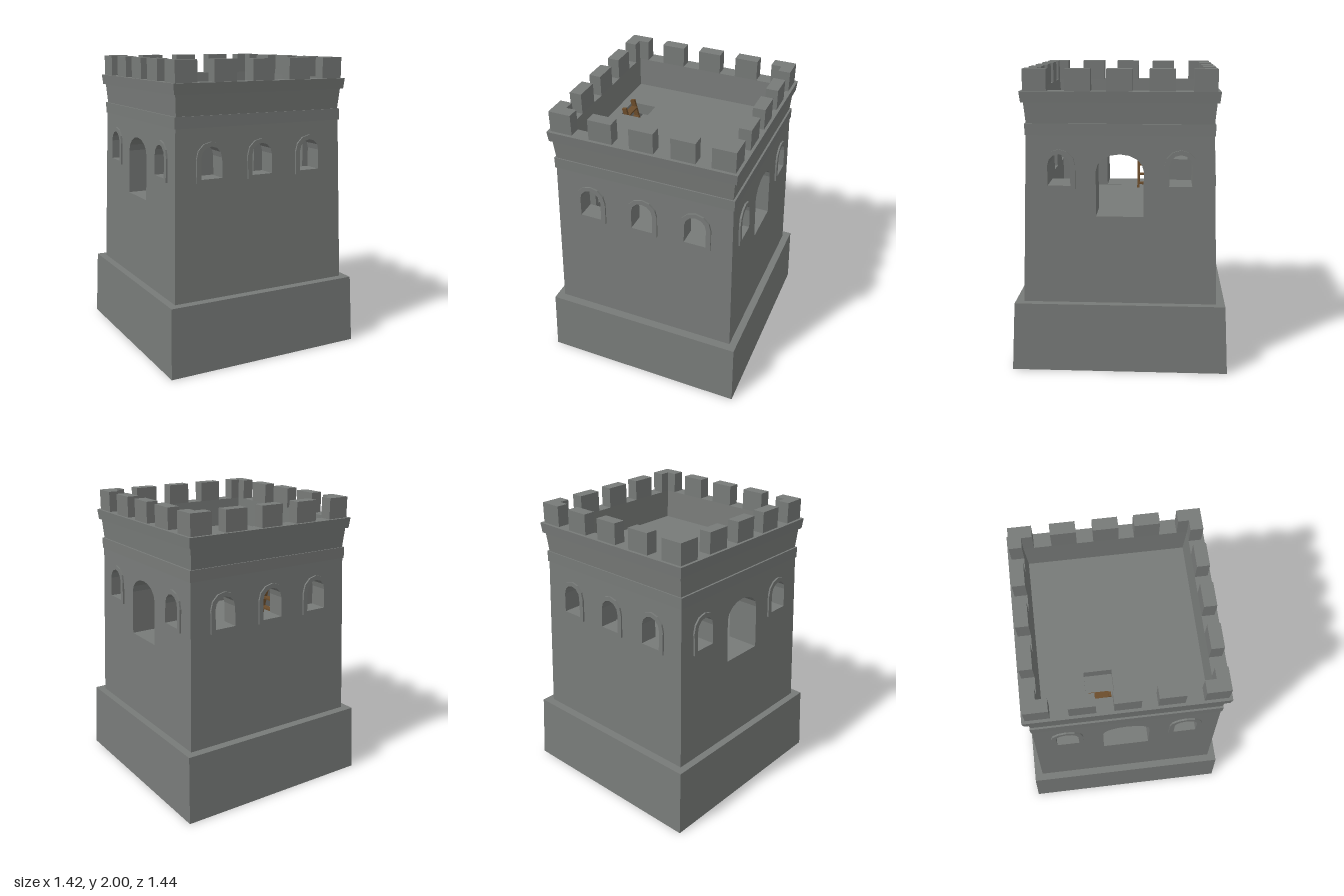
import * as THREE from 'three';

const stone = new THREE.MeshStandardMaterial({ color: 0x777a78 });
stone.name = 'grey stone';
const wood = new THREE.MeshStandardMaterial({ color: 0x6b4c2b });
wood.name = 'brown wood';

const ROOM_X = 0.465, ROOM_Z = 0.5, FLOOR = 1.05, ROOF = 1.66;
const WALL_BOTTOM = 0.465, WALL_TOP = 1.58;
// half sizes of the tapering wall at height y
const taper = (y, a, b) => a + (b - a) * (y - WALL_BOTTOM) / (WALL_TOP - WALL_BOTTOM);
const halfX = (y) => taper(y, 0.645, 0.612);
const halfZ = (y) => taper(y, 0.64, 0.604);

function add(parent, name, geometry, material = stone) {
  const mesh = new THREE.Mesh(geometry, material);
  mesh.name = name;
  parent.add(mesh);
  return mesh;
}

// sweeps a profile of [halfX, y, halfZ] around a rectangle
function squareLoft(profile) {
  const signs = [[1, 1], [1, -1], [-1, -1], [-1, 1]];
  const pos = [];
  const at = (p, s) => [p[0] * s[0], p[1], p[2] * s[1]];
  for (let i = 0; i < profile.length - 1; i++) {
    for (let k = 0; k < 4; k++) {
      const s = signs[k], t = signs[(k + 1) % 4];
      const a = at(profile[i], s), b = at(profile[i], t);
      const c = at(profile[i + 1], t), d = at(profile[i + 1], s);
      pos.push(...a, ...b, ...c, ...a, ...c, ...d);
    }
  }
  const g = new THREE.BufferGeometry();
  g.setAttribute('position', new THREE.Float32BufferAttribute(pos, 3));
  g.computeVertexNormals();
  return g;
}

// outline of an arched opening
function archPoints(cx, hw, y0, spring, top, n = 6) {
  const pts = [new THREE.Vector2(cx - hw, y0), new THREE.Vector2(cx + hw, y0)];
  for (let i = 0; i <= n; i++) {
    const a = Math.PI * i / n;
    pts.push(new THREE.Vector2(cx + hw * Math.cos(a), spring + (top - spring) * Math.sin(a)));
  }
  return pts;
}

// plate with holes; front and back depth follow rules, back corners may be mitred
function plate(points, holes, front, back, mitre = 0) {
  const shape = new THREE.Shape(points);
  holes.forEach((h) => shape.holes.push(new THREE.Path(h)));
  const g = new THREE.ExtrudeGeometry(shape, { depth: 1, bevelEnabled: false });
  const p = g.attributes.position;
  for (let i = 0; i < p.count; i++) {
    const isFront = p.getZ(i) > 0.5, y = p.getY(i);
    p.setZ(i, isFront ? front(y) : back(y));
    if (!isFront && mitre && Math.abs(p.getX(i)) > 0.58) p.setX(i, Math.sign(p.getX(i)) * mitre);
  }
  g.computeVertexNormals();
  return g;
}

const quad = (b, t, y0, y1) => [[-b, y0], [b, y0], [t, y1], [-t, y1]].map((q) => new THREE.Vector2(...q));
const windowHole = (cx) => archPoints(cx, 0.074, 1.255, 1.385, 1.46);
const doorHole = () => archPoints(0, 0.155, FLOOR + 0.002, 1.35, 1.46, 8);

// one wall with its openings and raised window frames, facing +z before turning
function wall(name, turn, windows, hasDoor, width, depth, inner, mitre) {
  const g = new THREE.Group();
  g.name = name;
  const holes = windows.map(windowHole);
  if (hasDoor) holes.push(doorHole());
  const outline = quad(width(WALL_BOTTOM), width(WALL_TOP), WALL_BOTTOM, WALL_TOP);
  add(g, 'wallFace', plate(outline, holes, depth, () => inner, mitre));
  for (const cx of windows) {
    const frame = archPoints(cx, 0.106, 1.23, 1.385, 1.49);
    add(g, 'windowFrame', plate(frame, [windowHole(cx)], (y) => depth(y) + 0.012, (y) => depth(y) - 0.02));
  }
  if (hasDoor) {
    // inner lining thickens the door walls
    add(g, 'wallLining', plate(quad(ROOM_Z, ROOM_Z, FLOOR, 1.475), holes, () => ROOM_X, () => 0.4));
  }
  g.rotation.y = turn;
  return g;
}

function box(parent, name, x0, x1, y0, y1, z0, z1, material = stone) {
  const m = add(parent, name, new THREE.BoxGeometry(x1 - x0, y1 - y0, z1 - z0), material);
  m.position.set((x0 + x1) / 2, (y0 + y1) / 2, (z0 + z1) / 2);
  return m;
}

function battlements() {
  const g = new THREE.Group();
  g.name = 'battlements';
  const y0 = 1.855, y1 = 2, out = 0.617, inn = 0.535, arm = 0.466;
  for (const c of [-0.267, 0.01, 0.284]) {
    box(g, 'frontMerlon', c - 0.08, c + 0.08, y0, y1, inn, out);
    box(g, 'backMerlon', c - 0.08, c + 0.08, y0, y1, -out, -inn);
  }
  for (const c of [-0.27, 0.002, 0.268]) {
    box(g, 'leftMerlon', inn, out, y0, y1, c - 0.082, c + 0.082);
    box(g, 'rightMerlon', -out, -inn, y0, y1, c - 0.082, c + 0.082);
  }
  // L-shaped corners
  const corner = [[arm, inn], [inn, inn], [inn, arm], [out, arm], [out, out], [arm, out]];
  const shape = new THREE.Shape(corner.map((q) => new THREE.Vector2(...q)));
  const geo = new THREE.ExtrudeGeometry(shape, { depth: y1 - y0, bevelEnabled: false });
  geo.rotateX(-Math.PI / 2);
  for (let k = 0; k < 4; k++) {
    const m = add(g, 'cornerMerlon', geo);
    m.position.y = y0;
    m.rotation.y = k * Math.PI / 2;
  }
  return g;
}

// leaning ladder with flat treads
function ladder() {
  const g = new THREE.Group();
  g.name = 'ladder';
  const bottom = new THREE.Vector2(-0.295, FLOOR), top = new THREE.Vector2(-0.455, 1.69);
  const d = top.clone().sub(bottom), mid = bottom.clone().add(top).multiplyScalar(0.5);
  for (const z of [-0.226, -0.09]) {
    const rail = add(g, 'ladderRail', new THREE.BoxGeometry(0.032, d.length(), 0.018), wood);
    rail.position.set(mid.x, mid.y, z);
    rail.rotation.z = Math.atan2(-d.x, d.y);
  }
  for (let y = 1.085; y < 1.66; y += 0.069) {
    const x = bottom.x + d.x * (y - bottom.y) / d.y;
    box(g, 'ladderTread', x - 0.022, x + 0.024, y - 0.006, y + 0.006, -0.22, -0.095, wood);
  }
  return g;
}

export function createModel() {
  const tower = new THREE.Group();
  tower.name = 'tower';

  add(tower, 'plinth', squareLoft([[0, 0, 0], [0.71, 0, 0.72], [0.695, 0.465, 0.697], [0.6, 0.465, 0.6]]));

  // four walls: windows front and back, a door between windows on the sides
  for (const [name, turn] of [['frontWall', 0], ['backWall', Math.PI]]) {
    tower.add(wall(name, turn, [-0.37, 0, 0.37], false, halfX, halfZ, ROOM_Z, ROOM_X));
  }
  for (const [name, turn] of [['leftWall', Math.PI / 2], ['rightWall', -Math.PI / 2]]) {
    tower.add(wall(name, turn, [-0.393, 0.393], true, halfZ, halfX, ROOM_X, ROOM_Z));
  }
  box(tower, 'roomFloor', -ROOM_X, ROOM_X, FLOOR - 0.03, FLOOR, -ROOM_Z, ROOM_Z);

  // string course, neck, cornice and inner parapet face
  add(tower, 'parapet', squareLoft([
    [0.59, 1.58, 0.585], [0.619, 1.58, 0.61], [0.619, 1.655, 0.61], [0.606, 1.655, 0.602],
    [0.615, 1.79, 0.615], [0.63, 1.79, 0.63], [0.636, 1.86, 0.638], [0.535, 1.86, 0.535],
    [0.53, ROOF, 0.522],
  ]));

  // roof deck with a hatch
  const hatch = [[-0.465, 0.06], [-0.285, 0.06], [-0.285, 0.24], [-0.465, 0.24]];
  const deck = plate(quad(0.535, 0.535, -0.53, 0.53),
    [hatch.map((q) => new THREE.Vector2(...q))], () => ROOF, () => WALL_TOP);
  add(tower, 'roofDeck', deck.rotateX(-Math.PI / 2));

  tower.add(battlements(), ladder());
  return tower;
}
